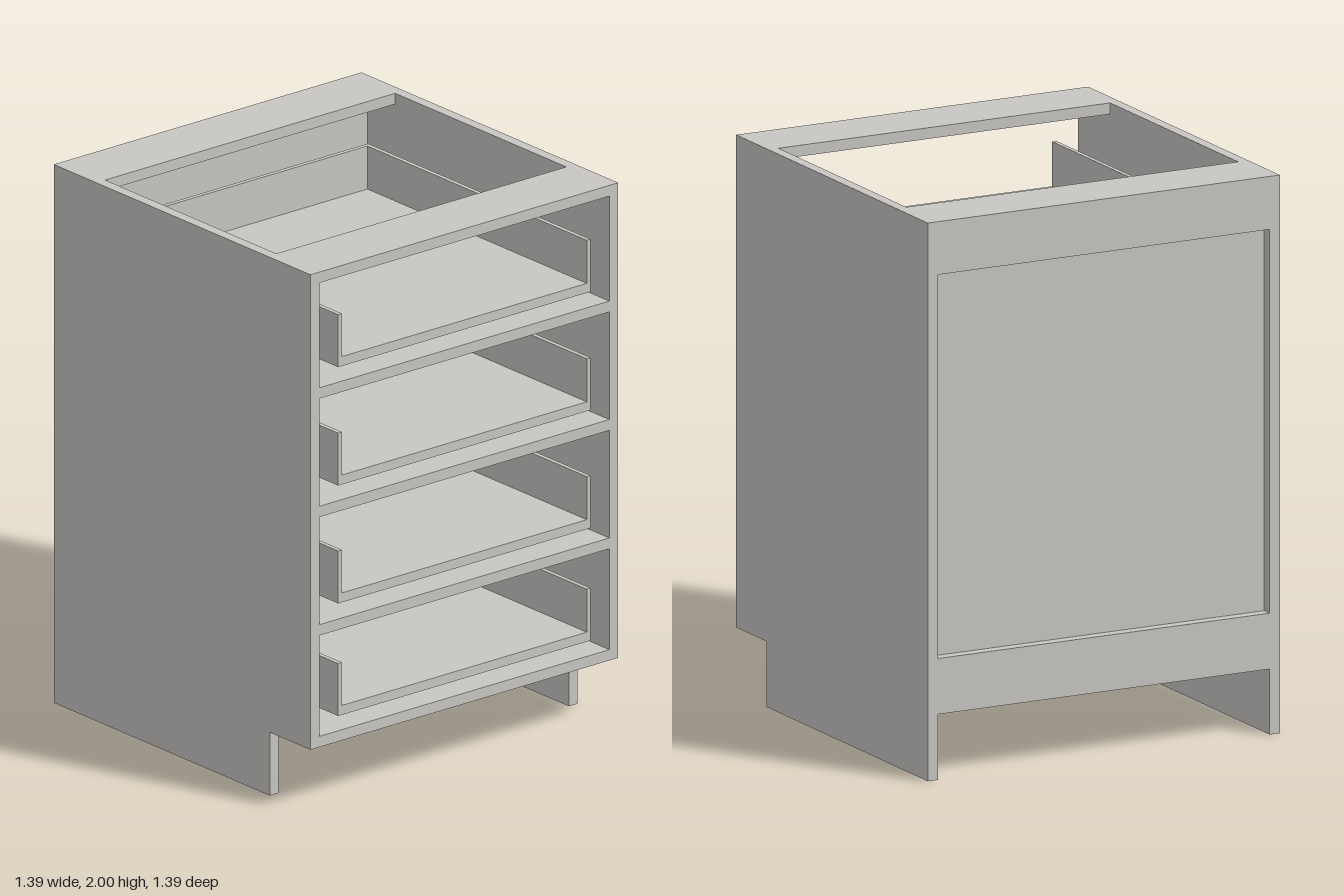
import * as THREE from 'three';

const W = 0.695;   // half width and half depth
const T = 0.04;    // board thickness
const IN = W - T;  // inner half width

export function createModel() {
  const model = new THREE.Group();
  model.name = 'drawerCabinet';
  const board = new THREE.MeshStandardMaterial({ color: 0xc8c6c2 });
  board.name = 'paleGreyBoard';

  // box given by its lower and upper corners
  const box = (parent, name, [x0, y0, z0], [x1, y1, z1]) => {
    const mesh = new THREE.Mesh(new THREE.BoxGeometry(x1 - x0, y1 - y0, z1 - z0), board);
    mesh.position.set((x0 + x1) / 2, (y0 + y1) / 2, (z0 + z1) / 2);
    mesh.name = name;
    parent.add(mesh);
  };

  // side panels with a toe notch at the lower front
  const outline = new THREE.Shape([
    [-W, 0], [0.475, 0], [0.475, 0.235], [W, 0.235], [W, 2], [-W, 2],
  ].map(([z, y]) => new THREE.Vector2(-z, y)));
  const sideGeometry = new THREE.ExtrudeGeometry(outline, { depth: T, bevelEnabled: false });
  sideGeometry.rotateY(Math.PI / 2);
  for (const [name, x] of [['leftSide', IN], ['rightSide', -W]]) {
    const side = new THREE.Mesh(sideGeometry, board);
    side.position.x = x;
    side.name = name;
    model.add(side);
  }

  // floor and the two top stretchers
  box(model, 'floor', [-IN, 0.235, -W], [IN, 0.275, W]);
  box(model, 'topFrontStretcher', [-IN, 1.96, 0.462], [IN, 2, W]);
  box(model, 'topBackStretcher', [-IN, 1.96, -W], [IN, 2, -0.465]);

  // front rails between the drawers
  for (const y of [0.65, 1.09, 1.53]) {
    box(model, 'frontRail', [-IN, y, 0.462], [IN, y + T, W]);
  }

  // recessed back panel held by two rails
  box(model, 'backPanel', [-IN, 0.275, -IN], [IN, 1.96, -0.615]);
  box(model, 'backTopRail', [-IN, 1.81, -W], [IN, 1.96, -IN]);
  box(model, 'backBottomRail', [-IN, 0.275, -W], [IN, 0.435, -IN]);

  // open-fronted drawers
  const half = 0.57, wall = 0.017, back = -0.51, height = 0.195;
  for (const y of [0.33, 0.748, 1.186, 1.626]) {
    const drawer = new THREE.Group();
    drawer.name = 'drawer';
    drawer.position.y = y;
    const inner = half - wall;
    box(drawer, 'drawerBottom', [-inner, 0, back + wall], [inner, 0.035, W]);
    box(drawer, 'drawerBack', [-inner, 0, back], [inner, height, back + wall]);
    box(drawer, 'drawerLeftWall', [inner, 0, back], [half, height, W]);
    box(drawer, 'drawerRightWall', [-half, 0, back], [-inner, height, W]);
    model.add(drawer);
  }
  return model;
}
